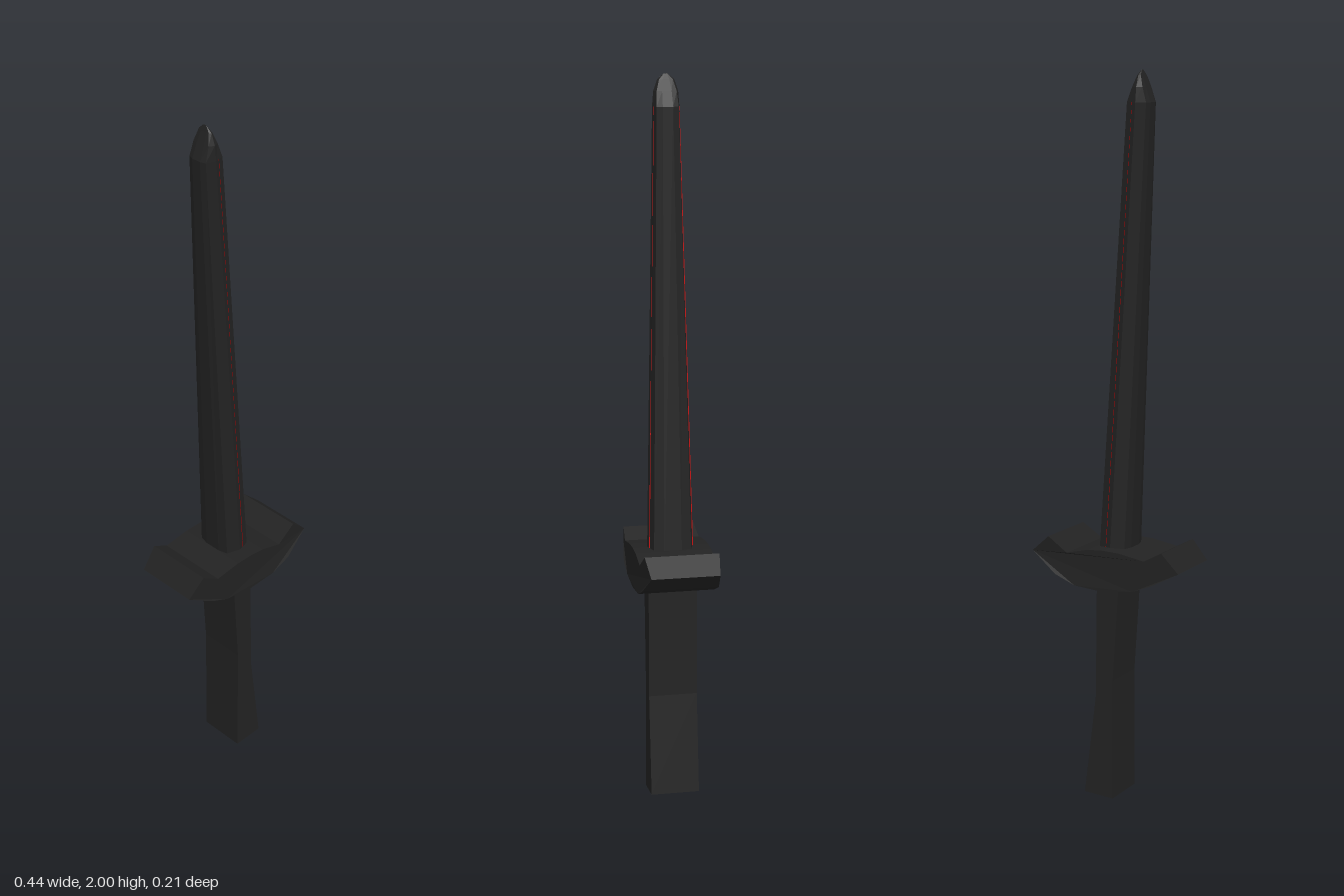
import * as THREE from 'three';

const steel = new THREE.MeshStandardMaterial({ color: 0x222222, flatShading: true });
steel.name = 'darkSteel';
const red = new THREE.MeshStandardMaterial({ color: 0xc00000, side: THREE.DoubleSide });
red.name = 'redInlay';

function add(group, name, geometry, material) {
  const mesh = new THREE.Mesh(geometry, material);
  mesh.name = name;
  group.add(mesh);
  return mesh;
}

// front profile extruded evenly to both sides of z = 0
function slab(points, halfDepth) {
  const shape = new THREE.Shape(points.map(([x, y]) => new THREE.Vector2(x, y)));
  const geometry = new THREE.ExtrudeGeometry(shape, { depth: halfDepth * 2, bevelEnabled: false });
  return geometry.translate(0, 0, -halfDepth);
}

// ten-sided blade outline, as [x, z]
const half = [[0.045, 0.025], [0.038, 0.053], [0, 0.066], [-0.038, 0.053], [-0.045, 0.025]];
const outline = [...half, ...half.map(([x, z]) => [x, -z]).reverse()];

// blade stations: [y, centre x, x scale, z scale]
const stations = [
  [0.66, 0, 1, 1],
  [1.915, -0.064, 0.74, 0.56],
  [1.955, -0.065, 0.4, 0.51],
  [1.985, -0.066, 0.14, 0.35],
  [2.0, -0.067, 0.01, 0.08],
];

function bladeGeometry() {
  const positions = [], index = [], n = outline.length;
  for (const [y, cx, sx, sz] of stations)
    for (const [x, z] of outline) positions.push(cx + x * sx, y, z * sz);
  for (let r = 0; r < stations.length - 1; r++) {
    for (let i = 0; i < n; i++) {
      const a = r * n + i, b = r * n + (i + 1) % n;
      index.push(a, a + n, b, b, a + n, b + n);
    }
  }
  // close the bottom and the point
  const top = (stations.length - 1) * n;
  for (let i = 1; i < n - 1; i++) {
    index.push(0, i, i + 1, top, top + i + 1, top + i);
  }
  const geometry = new THREE.BufferGeometry();
  geometry.setAttribute('position', new THREE.Float32BufferAttribute(positions, 3));
  geometry.setIndex(index);
  geometry.computeVertexNormals();
  return geometry;
}

// thin red fin standing just proud of the blade's slanted edge
function inlayGeometry(side) {
  const p = [];
  for (const [y, cx, sx, sz] of stations.slice(0, 2))
    for (const z of [0.054, 0.063]) p.push(cx + 0.015 * sx, y, side * z * sz);
  const geometry = new THREE.BufferGeometry();
  geometry.setAttribute('position', new THREE.Float32BufferAttribute(p, 3));
  geometry.setIndex([0, 2, 1, 1, 2, 3]);
  geometry.computeVertexNormals();
  return geometry;
}

export function createModel() {
  const sword = new THREE.Group();
  sword.name = 'sword';

  // grip, bending and widening toward its foot
  add(sword, 'grip', slab([
    [-0.012, 0], [0.075, 0.008], [0.04, 0.29], [0.036, 0.64], [-0.032, 0.64], [-0.012, 0.34],
  ], 0.068), steel);

  // upswept crossguard with ends drawn in
  const guard = slab([
    [-0.222, 0.67], [-0.147, 0.632], [-0.09, 0.61], [0, 0.6], [0.087, 0.609], [0.147, 0.635],
    [0.222, 0.692], [0.168, 0.738], [0.11, 0.698], [0.045, 0.713], [0, 0.715],
    [-0.05, 0.712], [-0.125, 0.698], [-0.175, 0.724],
  ], 0.106);
  const pos = guard.attributes.position;
  for (let i = 0; i < pos.count; i++) {
    const out = Math.max(0, Math.abs(pos.getX(i)) - 0.147) / 0.075;
    pos.setZ(i, pos.getZ(i) * (1 - 0.113 * out));
  }
  guard.computeVertexNormals();
  add(sword, 'crossguard', guard, steel);

  // leaning blade and its edge inlays
  add(sword, 'blade', bladeGeometry(), steel);
  add(sword, 'frontInlay', inlayGeometry(1), red);
  add(sword, 'backInlay', inlayGeometry(-1), red);

  return sword;
}
